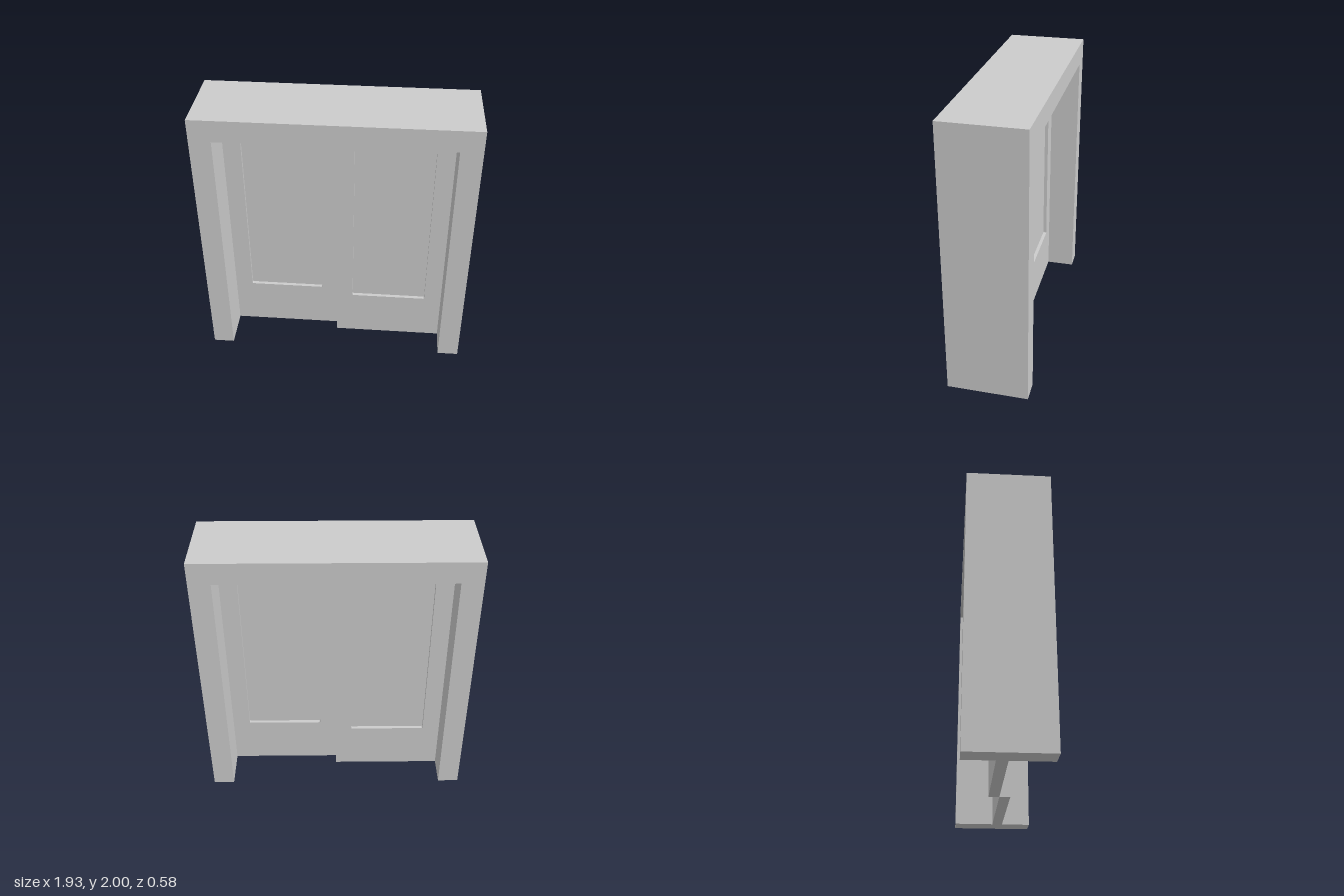
import * as THREE from 'three';

const HALF_W = 0.967, HEIGHT = 2, DEPTH = 0.58;       // outer frame
const OPEN_W = 0.813, OPEN_H = 1.842;                 // doorway opening
const DOOR_T = 0.076, PANEL_T = 0.024;                // door and panel thickness
const PANEL = { x0: 0.123, x1: 0.685, y0: 0.37, y1: 1.72, r: 0.009 };

const material = new THREE.MeshStandardMaterial({ color: 0xcccccc });

function makeMesh(name, geometry) {
  const mesh = new THREE.Mesh(geometry, material);
  mesh.name = name;
  return mesh;
}

// Extrude a shape along z, centred on z = 0
function slab(shape, depth) {
  return new THREE.ExtrudeGeometry(shape, { depth, bevelEnabled: false, curveSegments: 4 })
    .translate(0, 0, -depth / 2);
}

// Rectangle with slightly rounded corners
function roundedRect(path, { x0, x1, y0, y1, r }) {
  path.moveTo(x0 + r, y0);
  path.lineTo(x1 - r, y0);
  path.quadraticCurveTo(x1, y0, x1, y0 + r);
  path.lineTo(x1, y1 - r);
  path.quadraticCurveTo(x1, y1, x1 - r, y1);
  path.lineTo(x0 + r, y1);
  path.quadraticCurveTo(x0, y1, x0, y1 - r);
  path.lineTo(x0, y0 + r);
  path.quadraticCurveTo(x0, y0, x0 + r, y0);
  return path;
}

// Two posts and a lintel in one piece, open at the floor
function createFrame() {
  const outline = [
    [-HALF_W, 0], [-OPEN_W, 0], [-OPEN_W, OPEN_H], [OPEN_W, OPEN_H],
    [OPEN_W, 0], [HALF_W, 0], [HALF_W, HEIGHT], [-HALF_W, HEIGHT],
  ].map(([x, y]) => new THREE.Vector2(x, y));
  return makeMesh('doorFrame', slab(new THREE.Shape(outline), DEPTH));
}

// Sliding door: a leaf with a panel recessed on both faces
function createDoor(name) {
  const door = new THREE.Group();
  door.name = name;

  const leaf = new THREE.Shape([[0, 0], [OPEN_W, 0], [OPEN_W, OPEN_H], [0, OPEN_H]]
    .map(([x, y]) => new THREE.Vector2(x, y)));
  leaf.holes.push(roundedRect(new THREE.Path(), PANEL));
  door.add(makeMesh('doorLeaf', slab(leaf, DOOR_T)));

  door.add(makeMesh('recessedPanel', slab(roundedRect(new THREE.Shape(), PANEL), PANEL_T)));
  return door;
}

export function createModel() {
  const model = new THREE.Group();
  model.name = 'slidingDoors';
  model.add(createFrame());

  // The doors run on neighbouring tracks, one in front of the other
  const leftDoor = createDoor('leftDoor');
  leftDoor.position.z = DOOR_T / 2;
  const rightDoor = createDoor('rightDoor');
  rightDoor.rotation.y = Math.PI;
  rightDoor.position.z = -DOOR_T / 2;
  model.add(leftDoor, rightDoor);

  return model;
}
